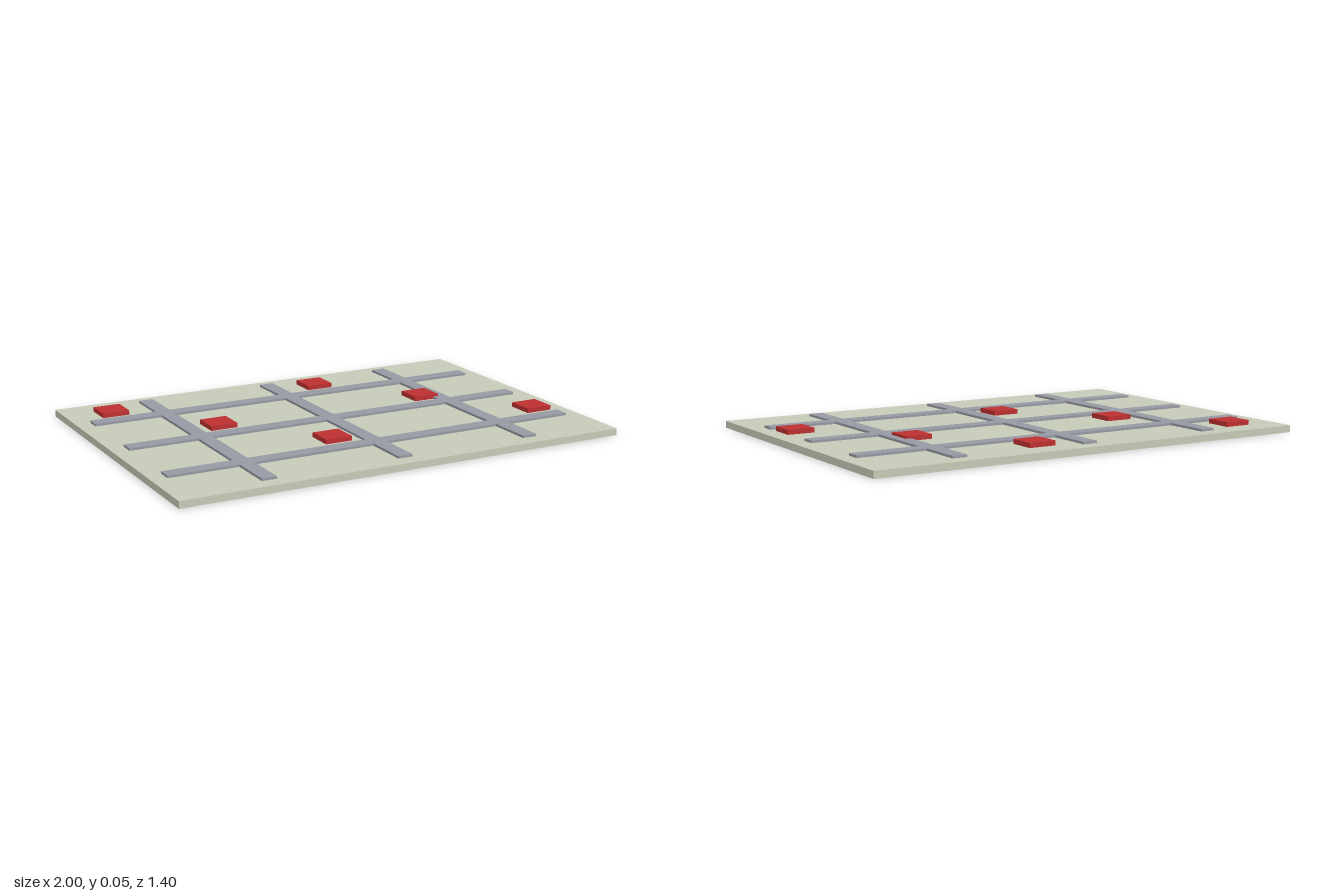
import * as THREE from 'three';

const material = (color) => new THREE.MeshStandardMaterial({ color });

// Box resting on height y0, centred on x and z
function slab(name, mat, [w, h, d], x, y0, z) {
  const mesh = new THREE.Mesh(new THREE.BoxGeometry(w, h, d), mat);
  mesh.name = name;
  mesh.position.set(x, y0 + h / 2, z);
  return mesh;
}

export function createModel() {
  const model = new THREE.Group();
  model.name = 'townBoard';
  const ground = material(0xcaceba);
  const paving = material(0x9a9ca6);
  const red = material(0xc03030);

  const baseTop = 0.03, roadHeight = 0.01, roadWidth = 0.064;

  // Ground plate
  model.add(slab('groundPlate', ground, [2, baseTop, 1.4], 0, 0, 0));

  // Long roads running left to right
  const roads = new THREE.Group();
  roads.name = 'roads';
  const rows = [-0.4, 0, 0.4];
  for (const z of rows) {
    roads.add(slab('longRoad', paving, [1.867, roadHeight, roadWidth], 0, baseTop, z));
  }

  // Cross roads, cut into pieces that butt against the long roads
  const edges = [-0.633, ...rows.flatMap((z) => [z - roadWidth / 2, z + roadWidth / 2]), 0.633];
  for (const x of [-0.6, 0, 0.6]) {
    for (let i = 0; i < edges.length; i += 2) {
      const [a, b] = [edges[i], edges[i + 1]];
      roads.add(slab('crossRoadPiece', paving, [roadWidth, roadHeight, b - a], x, baseTop, (a + b) / 2));
    }
  }
  model.add(roads);

  // Red blocks stepping diagonally across the board
  const blocks = new THREE.Group();
  blocks.name = 'blocks';
  for (let i = 0; i < 6; i++) {
    const x = -0.8 + i / 3;
    const z = -0.533 + (i % 3) * 0.4;
    blocks.add(slab('block', red, [0.12, 0.02, 0.12], x, baseTop, z));
  }
  model.add(blocks);

  return model;
}
